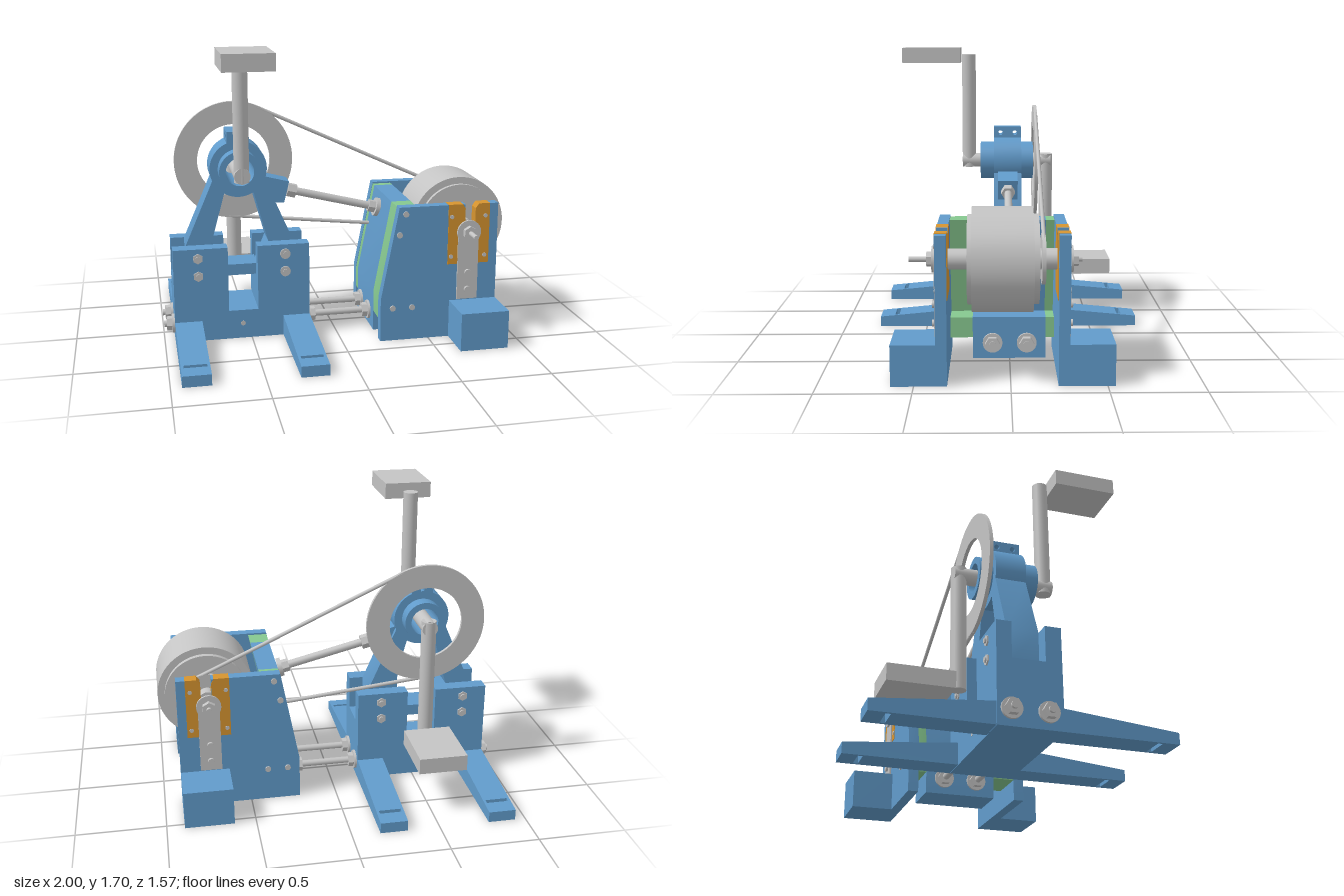
import * as THREE from 'three';
import { toCreasedNormals } from 'three/addons/utils/BufferGeometryUtils.js';

const material = (name, color) => {
  const m = new THREE.MeshStandardMaterial({ color });
  m.name = name;
  return m;
};

export function createModel() {
  const model = new THREE.Group();
  model.name = 'pedalMachine';
  const blue = material('blue frame', 0x619bcb);
  const metal = material('grey metal', 0xc4c4c4);
  const orange = material('orange guide', 0xd6942f);
  const green = material('green spacer', 0x86c78f);

  const add = (name, geometry, mat) => {
    const mesh = new THREE.Mesh(geometry, mat);
    mesh.name = name;
    model.add(mesh);
    return mesh;
  };
  const box = (name, mat, x0, x1, y0, y1, z0, z1) =>
    add(name, new THREE.BoxGeometry(x1 - x0, y1 - y0, z1 - z0), mat)
      .position.set((x0 + x1) / 2, (y0 + y1) / 2, (z0 + z1) / 2);

  // cylinder between two points
  const rod = (name, mat, r, a, b, sides = 24) => {
    const from = new THREE.Vector3(...a), to = new THREE.Vector3(...b);
    const dir = to.clone().sub(from);
    const mesh = add(name, new THREE.CylinderGeometry(r, r, dir.length(), sides), mat);
    if (sides === 6) mesh.geometry = toCreasedNormals(mesh.geometry, 0.5);
    mesh.position.copy(from).add(to).multiplyScalar(0.5);
    mesh.quaternion.setFromUnitVectors(new THREE.Vector3(0, 1, 0), dir.normalize());
  };
  const rodZ = (name, mat, r, x, y, z0, z1, sides) => rod(name, mat, r, [x, y, z0], [x, y, z1], sides);

  const polygon = pts => new THREE.Shape(pts.map(p => new THREE.Vector2(...p)));
  const circle = (x, y, r) => new THREE.Path().absarc(x, y, r, 0, Math.PI * 2, true);
  const extrude = (shape, depth) => toCreasedNormals(
    new THREE.ExtrudeGeometry(shape, { depth, bevelEnabled: false, curveSegments: 40 }), 0.5);
  const plate = (name, mat, shape, z0, z1) => add(name, extrude(shape, z1 - z0).translate(0, 0, z0), mat);
  const ring = (name, mat, x, y, outer, inner, z0, z1) => {
    const s = new THREE.Shape().absarc(x, y, outer, 0, Math.PI * 2, false);
    s.holes.push(circle(x, y, inner));
    plate(name, mat, s, z0, z1);
  };

  const CX = -0.55, CY = 0.985;   // crank axis
  const WX = 0.725, WY = 0.63;    // flywheel axis

  // pedal stand: U-shaped base and clamp walls
  plate('standBase', blue, polygon([[-0.94, 0], [-0.16, 0], [-0.16, 0.355], [-0.46, 0.355],
    [-0.46, 0.17], [-0.63, 0.17], [-0.63, 0.355], [-0.94, 0.355]]), -0.168, 0.174);
  for (const [x0, x1] of [[-0.94, -0.63], [-0.46, -0.16]]) {
    box('clampWall', blue, x0, x1, 0.355, 0.55, 0.088, 0.174);
    box('clampWall', blue, x0, x1, 0.355, 0.55, -0.168, -0.088);
  }
  for (const y of [0.39, 0.495]) {
    for (const x of [-0.8, -0.3]) {
      rodZ('clampBoltHead', metal, 0.03, x, y, 0.174, 0.182, x < -0.5 ? 6 : 24);
      rodZ('clampBolt', metal, 0.015, x, y, -0.185, 0.188, 16);
      rodZ('clampNut', metal, 0.03, x, y, -0.176, -0.168, 6);
    }
  }
  rodZ('baseScrew', metal, 0.014, CX, 0.09, -0.17, 0.177, 16);

  // tapered feet with strap slots
  for (const x0 of [-0.94, -0.315]) {
    for (const s of [-1, 1]) {
      const rect = (a, b, c, d) => [[a, c], [b, c], [b, d], [a, d]];
      const near = Math.min(s * 0.17, s * 0.785), far = Math.max(s * 0.17, s * 0.785);
      const shape = polygon(rect(x0, x0 + 0.155, near, far));
      shape.holes.push(polygon(rect(x0 + 0.015, x0 + 0.14, s * 0.685 - 0.013, s * 0.685 + 0.013)));
      const geo = new THREE.ExtrudeGeometry(shape, { depth: 1, bevelEnabled: false }).rotateX(-Math.PI / 2);
      const p = geo.attributes.position;
      for (let i = 0; i < p.count; i++) {
        const t = (Math.abs(p.getZ(i)) - 0.17) / 0.615;
        if (p.getY(i) > 0.5) p.setY(i, 0.12 - 0.058 * t);
      }
      geo.computeVertexNormals();
      add('foot', geo, blue);
    }
  }

  // crank yoke: legs, hub, clamp ears
  for (const s of [-1, 1]) {
    const pts = [[0.15, 0.92], [0.31, 0.55], [0.31, 0.355], [0.085, 0.355], [0.165, 0.55], [0.08, 0.86]];
    const shape = polygon(pts.map(([x, y]) => [CX + s * x, y]));
    plate('yokeLeg', blue, shape, -0.085, 0.085);
    const ear = polygon([[-0.085, 1.125], [0.085, 1.125], [0.085, 1.2], [-0.085, 1.2]]);
    for (const z of [-0.045, 0.045]) ear.holes.push(circle(z, 1.165, 0.015));
    add('clampEar', extrude(ear, 0.053).rotateY(Math.PI / 2), blue)
      .position.x = s > 0 ? CX + 0.01 : CX - 0.063;
  }
  box('yokeBar', blue, -0.65, -0.45, 0.355, 0.42, -0.085, 0.085);
  ring('hub', blue, CX, CY, 0.163, 0.08, -0.085, 0.085);
  ring('hubSleeve', blue, CX, CY, 0.117, 0.08, -0.16, 0.17);
  plate('rodBoss', blue, polygon([[-0.42, 0.86], [-0.33, 0.77], [-0.285, 0.77], [-0.255, 0.892], [-0.4, 0.93]]),
    -0.06, 0.06);

  // crank axle, arms, pedals
  rodZ('crankAxle', metal, 0.045, CX, CY, -0.275, 0.285);
  for (const s of [-1, 1]) {
    rod('crankArm', metal, 0.043, [CX, CY - s * 0.04, s * 0.243], [CX, CY + s * 0.67, s * 0.243]);
    const y = s > 0 ? 1.605 : 0.27;
    box('pedal', metal, -0.685, -0.41, y, y + 0.092, s > 0 ? 0.293 : -0.65, s > 0 ? 0.65 : -0.293);
  }

  // drive ring, pulley, belt
  ring('driveRing', metal, CX, CY, 0.35, 0.215, -0.182, -0.162);
  rodZ('pulley', metal, 0.135, WX, WY, -0.182, -0.162, 40);
  const dx = WX - CX, dy = WY - CY;
  const phi = Math.atan2(dy, dx), spread = Math.acos(0.215 / Math.hypot(dx, dy));
  for (const a of [phi + spread, phi - spread]) {
    const at = (x, y, r) => [x + r * Math.cos(a), y + r * Math.sin(a), -0.172];
    rod('belt', metal, 0.011, at(CX, CY, 0.341), at(WX, WY, 0.126), 10);
  }

  // tie rods along the base
  for (const z of [-0.095, 0.095]) {
    const alongX = (name, r, x0, x1, sides) => rod(name, metal, r, [x0, 0.09, z], [x1, 0.09, z], sides);
    alongX('tieRod', 0.019, -1, 0.5, 16);
    for (const [face, dir] of [[-0.94, -1], [-0.16, 1], [0.215, -1], [0.45, 1]]) {
      alongX('tieRodWasher', 0.055, face, face + dir * 0.014);
      alongX('tieRodNut', 0.042, face + dir * 0.014, face + dir * 0.045, 6);
    }
  }

  // sloping brace rod
  const brace = (name, r, t0, t1, sides) => {
    const at = t => [-0.27 + t * 0.56, 0.835 - t * 0.14, 0];
    rod(name, metal, r, at(t0), at(t1), sides);
  };
  brace('braceRod', 0.023, 0, 1.2, 16);
  brace('braceNut', 0.042, 0.02, 0.11, 6);
  brace('braceNut', 0.038, 0.89, 0.96, 6);
  brace('braceWasher', 0.055, 0.96, 1.0);

  // flywheel frame: core block and spacers
  const upright = bottom => polygon([[0.217, bottom], [0.45, bottom], [0.45, 0.235], [0.32, 0.235],
    [0.43, 0.78], [0.318, 0.78], [0.217, 0.25]]);
  plate('coreBlock', blue, upright(0), -0.2, 0.205);
  plate('spacer', green, upright(0.12), 0.205, 0.328);
  plate('spacer', green, upright(0.12), -0.246, -0.2);

  // side plates with guides, straps, bolts and outer foot blocks
  for (const [inner, outer, end, tip] of [[0.328, 0.387, 0.62, 0.53], [-0.246, -0.305, -0.54, -0.375]]) {
    const s = Math.sign(outer), z0 = Math.min(inner, outer), z1 = Math.max(inner, outer);
    plate('sidePlate', blue, polygon([[0.215, 0], [0.9, 0], [0.9, 0.79], [0.785, 0.79], [0.785, 0.6],
      [0.705, 0.6], [0.705, 0.79], [0.318, 0.79], [0.215, 0.25]]), z0, z1);
    plate('axleGuide', orange, polygon([[0.605, 0.44], [0.85, 0.44], [0.85, 0.792], [0.785, 0.792],
      [0.765, 0.765], [0.765, 0.6], [0.685, 0.6], [0.705, 0.6], [0.705, 0.765], [0.69, 0.792],
      [0.605, 0.792]].filter(p => p[0] !== 0.685)), z0 - 0.003, z1 + 0.003);
    box('footBlock', blue, 0.622, 0.9, 0, 0.22, Math.min(outer, end), Math.max(outer, end));

    const strap = polygon([[0.664, 0.228], [0.786, 0.228], [0.786, WY]]);
    strap.absarc(WX, WY, 0.061, 0, Math.PI, false);
    const face = outer + s * 0.01;
    plate('strap', metal, strap, Math.min(outer, face), Math.max(outer, face));
    for (const y of [0.286, 0.388]) rodZ('strapBolt', metal, 0.019, WX, y, outer, outer + s * 0.024, 16);
    for (const [x, y] of [[0.355, 0.75], [0.32, 0.63], [0.285, 0.195], [0.4, 0.195]])
      rodZ('plateBolt', metal, 0.017, x, y, outer, outer + s * 0.008, 16);
    for (const x of [0.625, 0.825])
      for (const y of [0.485, 0.72]) rodZ('guideBolt', metal, 0.012, x, y, outer, outer + s * 0.007, 16);

    rodZ('axleWasher', metal, 0.07, WX, WY, face, face + s * 0.012);
    rodZ('axleNut', metal, 0.04, WX, WY, face + s * 0.012, face + s * 0.04, 6);
    rodZ('axleStud', metal, 0.014, WX, WY, inner, tip, 16);
  }

  // flywheel drum and axle
  rodZ('flywheel', metal, 0.275, WX, WY, -0.117, 0.2, 64);
  rodZ('flywheelCap', metal, 0.235, WX, WY, -0.147, 0.223, 64);
  rodZ('flywheelAxle', metal, 0.055, WX, WY, -0.246, 0.328, 32);

  return model;
}
